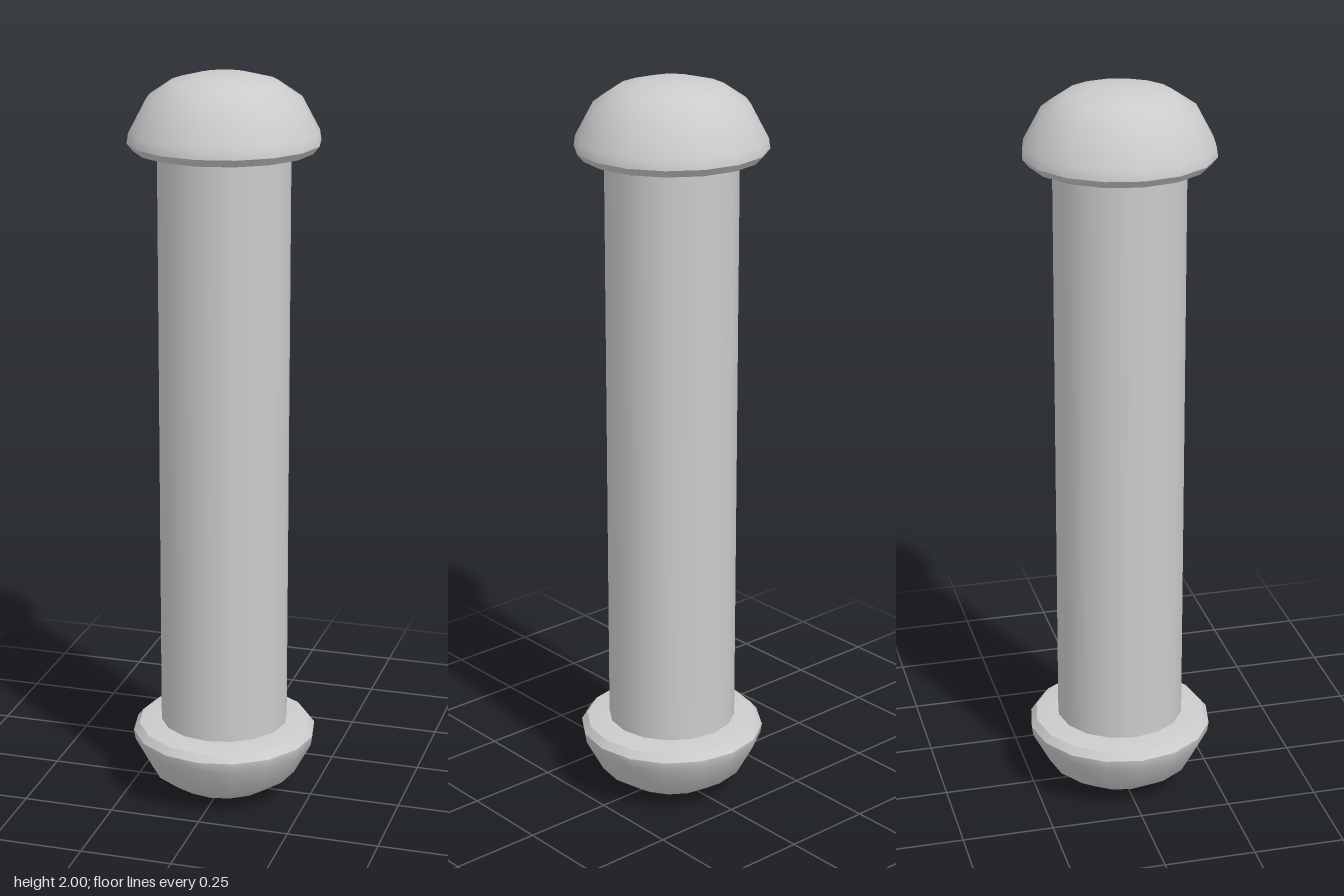
import * as THREE from 'three';

const SIDES = 16;
const material = new THREE.MeshStandardMaterial({ color: 0xcccccc });

function lathe(name, profile) {
  const points = profile.map(([r, y]) => new THREE.Vector2(r, y));
  const mesh = new THREE.Mesh(new THREE.LatheGeometry(points, SIDES), material);
  mesh.name = name;
  return mesh;
}

// Rounded end cap, measured from the middle of the rod
function createCap(name) {
  const cap = new THREE.Group();
  cap.name = name;
  cap.add(
    lathe('capUnderside', [[0, 0.793], [0.175, 0.793], [0.237, 0.803]]),
    lathe('capRim', [[0.237, 0.803], [0.253, 0.823]]),
    lathe('capDome', [[0.253, 0.823], [0.249, 0.85], [0.202, 0.938], [0.14, 0.98], [0.07, 0.998], [0, 1]])
  );
  return cap;
}

export function createModel() {
  const model = new THREE.Group();
  model.name = 'cappedRod';

  // Straight shaft, reaching slightly into both caps
  const shaft = new THREE.Mesh(new THREE.CylinderGeometry(0.175, 0.175, 1.6, SIDES, 1, true), material);
  shaft.name = 'shaft';
  shaft.position.y = 1;
  model.add(shaft);

  // Matching caps, the lower one turned upside down
  const topCap = createCap('topCap');
  const bottomCap = createCap('bottomCap');
  topCap.position.y = bottomCap.position.y = 1;
  bottomCap.rotation.x = Math.PI;
  model.add(topCap, bottomCap);

  return model;
}
